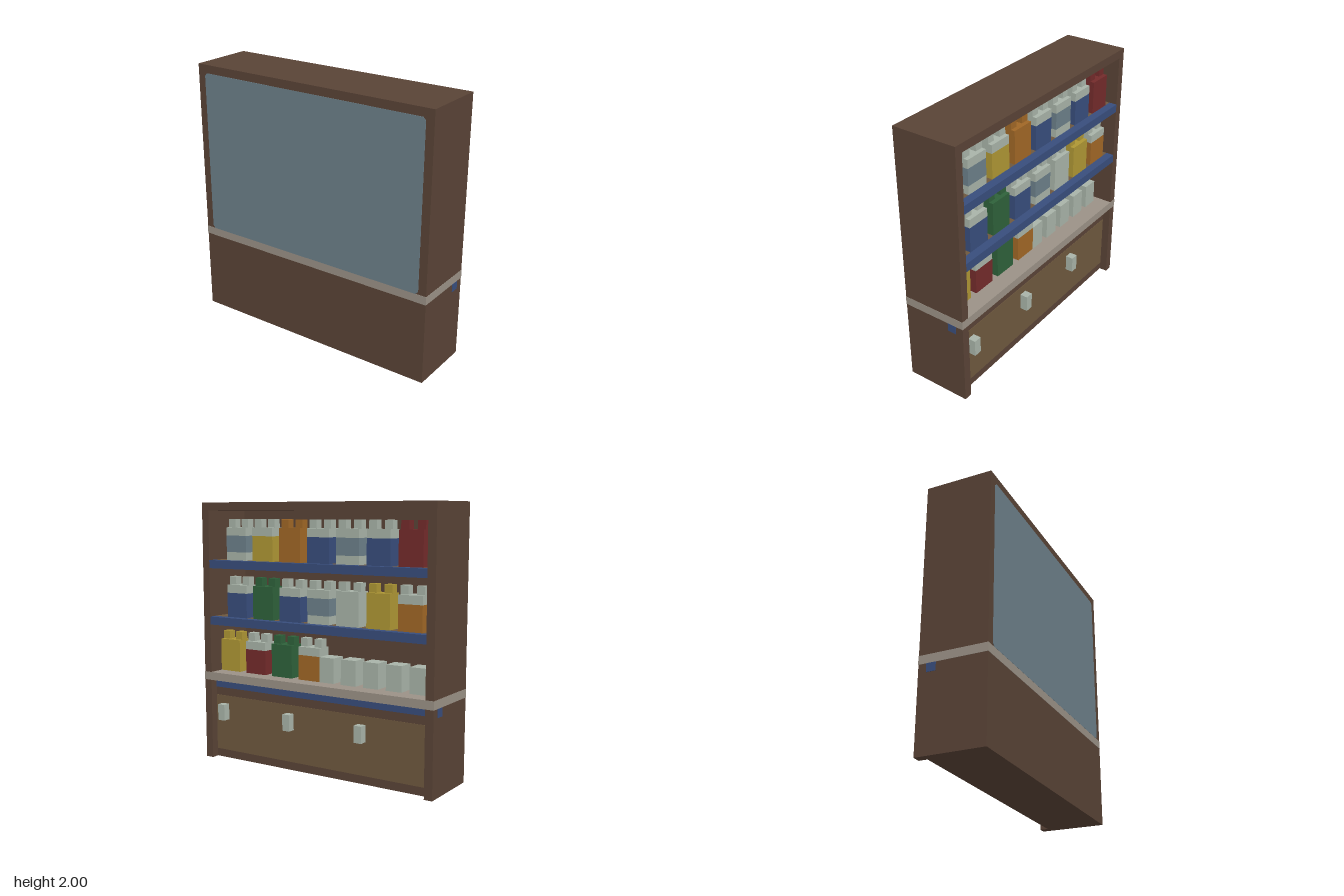
import * as THREE from 'three';

const U = 1 / 16; // grid unit

const mat = (name, color) => {
  const m = new THREE.MeshStandardMaterial({ color });
  m.name = name;
  return m;
};

export function createModel() {
  const root = new THREE.Group();
  root.name = 'displayCabinet';

  const wood = mat('dark wood', 0x594336);
  const tan = mat('light wood', 0x6e583e);
  const glass = mat('grey blue', 0x6c7f89);
  const stone = mat('counter stone', 0x9a9186);
  const white = mat('off white', 0xa8b3a8);
  const blue = mat('blue', 0x384d7c);
  const yellow = mat('yellow', 0xae9634);
  const orange = mat('orange', 0xa06726);
  const red = mat('red', 0x732b2b);
  const green = mat('green', 0x2e613a);

  // Box from min and max corners in grid units, grown by g world units
  function box(parent, name, material, a, b, g = [0, 0, 0]) {
    const size = a.map((v, i) => (b[i] - v) * U + 2 * g[i]);
    const mesh = new THREE.Mesh(new THREE.BoxGeometry(...size), material);
    mesh.position.set(...a.map((v, i) => ((v + b[i]) / 2) * U));
    mesh.name = name;
    parent.add(mesh);
    return mesh;
  }

  // Carcass
  box(root, 'rightSide', wood, [-16, 0, -4], [-15, 32, 4]);
  box(root, 'leftSide', wood, [15, 0, -4], [16, 32, 4]);
  box(root, 'topBoard', wood, [-15, 31, -4], [15, 32, 4]);
  box(root, 'frontPanel', wood, [-15, 11, 3], [15, 31, 4]);
  box(root, 'lowerCabinet', wood, [-15, 0, -3], [15, 10, 4]);
  box(root, 'lowerPanel', tan, [-15, 1, -3], [15, 8, -3], [0, 0, 0.003]);
  box(root, 'counter', stone, [-16, 10, -4], [16, 11, 4], [0.002, 0, 0.002]);
  box(root, 'pipe', blue, [-16, 9, -3], [16, 10, -2], [0.003, 0, 0.003]);

  // Front pane with clipped corners
  const w = 15 * U, y0 = 11 * U, y1 = 31 * U, c = 0.02;
  const pane = new THREE.Shape();
  pane.moveTo(-w + c, y0);
  pane.lineTo(w - c, y0);
  pane.lineTo(w, y0 + c);
  pane.lineTo(w, y1 - c);
  pane.lineTo(w - c, y1);
  pane.lineTo(-w + c, y1);
  pane.lineTo(-w, y1 - c);
  pane.lineTo(-w, y0 + c);
  const paneMesh = new THREE.Mesh(
    new THREE.ExtrudeGeometry(pane, { depth: 0.003, bevelEnabled: false }), glass);
  paneMesh.position.z = 4 * U;
  paneMesh.name = 'frontPane';
  root.add(paneMesh);

  // Shelves with blue edge rails
  for (const y of [17, 24]) {
    box(root, 'shelf', tan, [-15, y, -3], [15, y + 1, 3]);
    box(root, 'shelfRail', blue, [-15, y, -4], [15, y + 1, -3]);
  }

  // Bottle: body in one or more colour bands, with two stubs on top
  function bottle(x, y, z, bands) {
    const g = new THREE.Group();
    g.name = 'bottle';
    let h = 0;
    for (const [top, m] of bands) {
      box(g, 'bottleBody', m, [0, h, 0], [3, top, 2]);
      h = top;
    }
    const cap = bands[bands.length - 1][1];
    box(g, 'bottleHandle', cap, [0, 4, 0.5], [1, 5, 1.5]);
    box(g, 'bottleNeck', cap, [2, 4, 0.5], [3, 5, 1.5]);
    g.position.set(x * U, y * U, z * U);
    root.add(g);
  }
  const full = (m) => [[4, m]];
  const half = (m) => [[3, m], [4, white]];
  const label = [[1, white], [3, glass], [4, white]];

  // Rows run from the model's left to its right
  const rows = [
    { x: 10, y: 25, z: -3, items: [label, half(yellow), full(orange), half(blue), label, half(blue), full(red)] },
    { x: 10, y: 18, z: -3, items: [half(blue), full(green), half(blue), label, full(white), full(yellow), half(orange)] },
    { x: 12, y: 11, z: -2, items: [full(yellow), half(red), full(green), half(orange)] },
  ];
  for (const { x, y, z, items } of rows) {
    items.forEach((bands, i) => bottle(x - 4 * i, y, z, bands));
  }

  // Cups on the counter
  for (let i = 0; i < 5; i++) {
    box(root, 'cup', white, [-2 - 3 * i, 11, -2], [-3 * i, 14, 0]);
  }

  // Taps on the lower panel
  for (const x of [13, 3, -7]) {
    box(root, 'tap', white, [x, 5, -4], [x + 1, 7, -3]);
  }

  return root;
}
